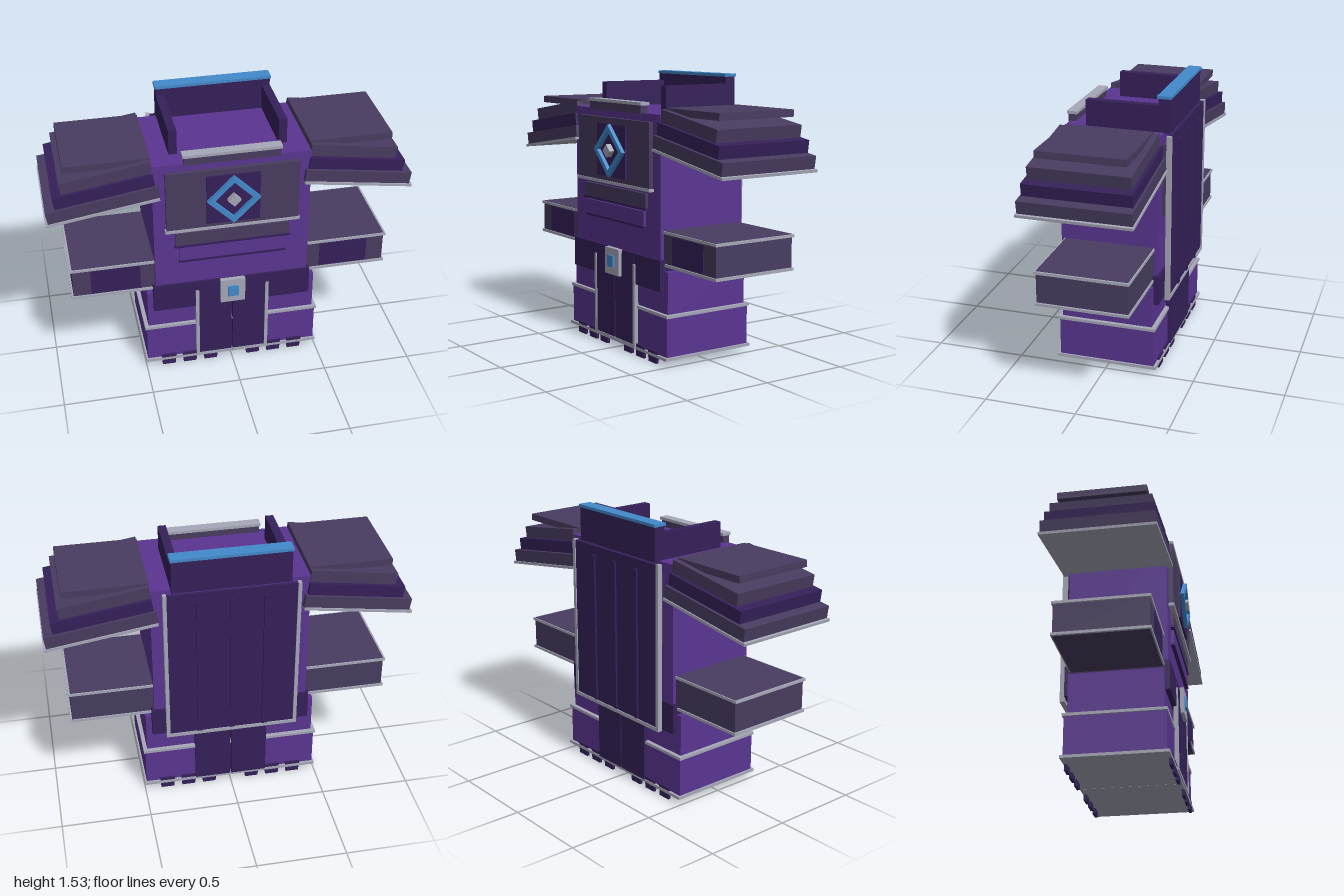
import * as THREE from 'three';

const mat = (name, color) => {
  const m = new THREE.MeshStandardMaterial({ color });
  m.name = name;
  return m;
};

export function createModel() {
  const purple = mat('royal purple', 0x5a3592);
  const dark = mat('dark violet', 0x352059);
  const slate = mat('slate violet', 0x483c60);
  const silver = mat('silver', 0xa6a8b8);
  const blue = mat('bright blue', 0x428acb);

  const model = new THREE.Group();
  model.name = 'armouredRobe';

  // Box given by its extents on each axis
  const box = (name, m, x0, x1, y0, y1, z0, z1, parent = model) => {
    const mesh = new THREE.Mesh(new THREE.BoxGeometry(x1 - x0, y1 - y0, z1 - z0), m);
    mesh.position.set((x0 + x1) / 2, (y0 + y1) / 2, (z0 + z1) / 2);
    mesh.name = name;
    parent.add(mesh);
    return mesh;
  };
  // Box centred on x = 0
  const mid = (name, m, halfX, ...yz) => box(name, m, -halfX, halfX, ...yz);
  // Box on side s (1 = left, -1 = right), extents measured outwards
  const side = (s, name, m, a, b, ...yz) =>
    box((s > 0 ? 'left' : 'right') + name, m, Math.min(s * a, s * b), Math.max(s * a, s * b), ...yz);

  // Torso and belt
  mid('torso', purple, 0.43, 0.5, 1.335, -0.273, 0.267);
  mid('belt', dark, 0.445, 0.4, 0.568, -0.284, 0.279);
  mid('buckle', silver, 0.07, 0.42, 0.57, 0.275, 0.302);
  mid('buckleGem', blue, 0.03, 0.465, 0.53, 0.3, 0.314);

  // Chest plate
  mid('chestPlate', slate, 0.363, 0.935, 1.293, 0.26, 0.292);
  mid('chestTrim', silver, 0.37, 0.925, 0.942, 0.26, 0.297);
  mid('emblemPlate', dark, 0.146, 0.967, 1.26, 0.29, 0.303);

  // Diamond emblem
  const diamond = (r, Kind) => new Kind([[r, 0], [0, r], [-r, 0], [0, -r]].map(p => new THREE.Vector2(...p)));
  const emblem = (name, m, shape, z, depth) => {
    const mesh = new THREE.Mesh(new THREE.ExtrudeGeometry(shape, { depth, bevelEnabled: false }), m);
    mesh.position.set(0, 1.115, z);
    mesh.name = name;
    model.add(mesh);
  };
  const ring = diamond(0.145, THREE.Shape);
  ring.holes.push(diamond(0.108, THREE.Path));
  emblem('emblemRing', blue, ring, 0.302, 0.023);
  emblem('emblemCentre', silver, diamond(0.036, THREE.Shape), 0.302, 0.032);

  // Stomach plates with dark lower lips
  mid('upperStomachPlate', slate, 0.315, 0.83, 0.91, 0.26, 0.285);
  mid('upperStomachLip', dark, 0.32, 0.819, 0.832, 0.26, 0.288);
  mid('lowerStomachPlate', purple, 0.295, 0.73, 0.813, 0.26, 0.283);
  mid('lowerStomachLip', dark, 0.3, 0.72, 0.732, 0.26, 0.286);

  // Collar
  mid('collarBack', dark, 0.32, 1.33, 1.518, -0.303, -0.24);
  mid('collarCap', blue, 0.325, 1.516, 1.532, -0.309, -0.234);
  mid('collarFront', slate, 0.26, 1.33, 1.378, 0.235, 0.277);
  mid('collarFrontTrim', silver, 0.267, 1.375, 1.391, 0.226, 0.283);

  // Back plate and cape
  mid('backPlate', slate, 0.35, 0.88, 1.28, -0.29, -0.26);
  mid('cape', dark, 0.355, 0.41, 1.325, -0.319, -0.302);
  mid('capeBottomTrim', silver, 0.37, 0.4, 0.42, -0.325, -0.298);
  for (const x of [-0.182, 0, 0.182])
    box('capeRib', dark, x - 0.013, x + 0.013, 0.425, 1.275, -0.33, -0.315);

  // Tapered flap hanging below the hem
  const toe = (x, z) => {
    const mesh = box('hemFlap', dark, x - 0.043, x + 0.043, 0, 0.066, z - 0.008, z + 0.008);
    const p = mesh.geometry.attributes.position;
    for (let i = 0; i < p.count; i++) if (p.getY(i) < 0) p.setX(i, p.getX(i) * 0.86);
    mesh.geometry.computeVertexNormals();
  };

  // Shoulder layers: centre x, centre y, width, height, half depth, tilt
  const tilt = 0.15;
  const layers = [
    ['shoulderTrim', silver, 0.695, 1.107, 0.612, 0.015, 0.305, tilt],
    ['shoulderLayer1', slate, 0.692, 1.148, 0.6, 0.072, 0.298, tilt],
    ['shoulderLayer2', dark, 0.683, 1.223, 0.535, 0.067, 0.287, tilt],
    ['shoulderLayer3', slate, 0.667, 1.295, 0.485, 0.067, 0.27, tilt],
    ['shoulderTop', slate, 0.657, 1.351, 0.456, 0.038, 0.238, 0],
  ];

  for (const s of [1, -1]) {
    side(s, 'CollarSide', dark, 0.275, 0.32, 1.33, 1.477, -0.245, 0.157);
    side(s, 'CapeTrim', silver, 0.35, 0.37, 0.4, 1.33, -0.325, -0.298);

    for (const [name, m, x, y, w, h, d, a] of layers) {
      const mesh = box(name, m, -w / 2, w / 2, -h / 2, h / 2, -d, d);
      mesh.position.set(s * x, y, -0.007);
      mesh.rotation.z = -s * a;
    }

    // Arm with silver rims and a front inset
    side(s, 'Arm', slate, 0.42, 0.882, 0.531, 0.726, -0.25, 0.242);
    side(s, 'ArmTopRim', silver, 0.42, 0.893, 0.709, 0.724, -0.257, 0.25);
    side(s, 'ArmBottomRim', silver, 0.42, 0.893, 0.533, 0.548, -0.257, 0.25);
    side(s, 'ArmInset', dark, 0.51, 0.783, 0.555, 0.703, 0.24, 0.247);

    // Robe skirt halves in two tiers with trims
    side(s, 'UpperSkirt', purple, 0.004, 0.478, 0.27, 0.508, -0.257, 0.252);
    side(s, 'LowerSkirt', purple, 0.004, 0.49, 0.045, 0.27, -0.272, 0.265);
    side(s, 'SkirtTrim', silver, 0.001, 0.5, 0.264, 0.28, -0.28, 0.271);
    side(s, 'HemTrim', silver, 0.001, 0.5, 0.034, 0.05, -0.287, 0.279);

    // Front and back tabards
    side(s, 'FrontTabard', dark, 0.004, 0.193, 0.055, 0.55, 0.262, 0.282);
    side(s, 'FrontTabardEdge', silver, 0.19, 0.209, 0.04, 0.51, 0.262, 0.287);
    side(s, 'FrontTabardHem', silver, 0.001, 0.209, 0.042, 0.058, 0.262, 0.286);
    side(s, 'BackTabard', dark, 0.004, 0.205, 0.048, 0.42, -0.289, -0.262);

    for (const x of [0.125, 0.247, 0.37]) {
      toe(s * x, 0.27);
      toe(s * x, -0.275);
    }
  }
  return model;
}
